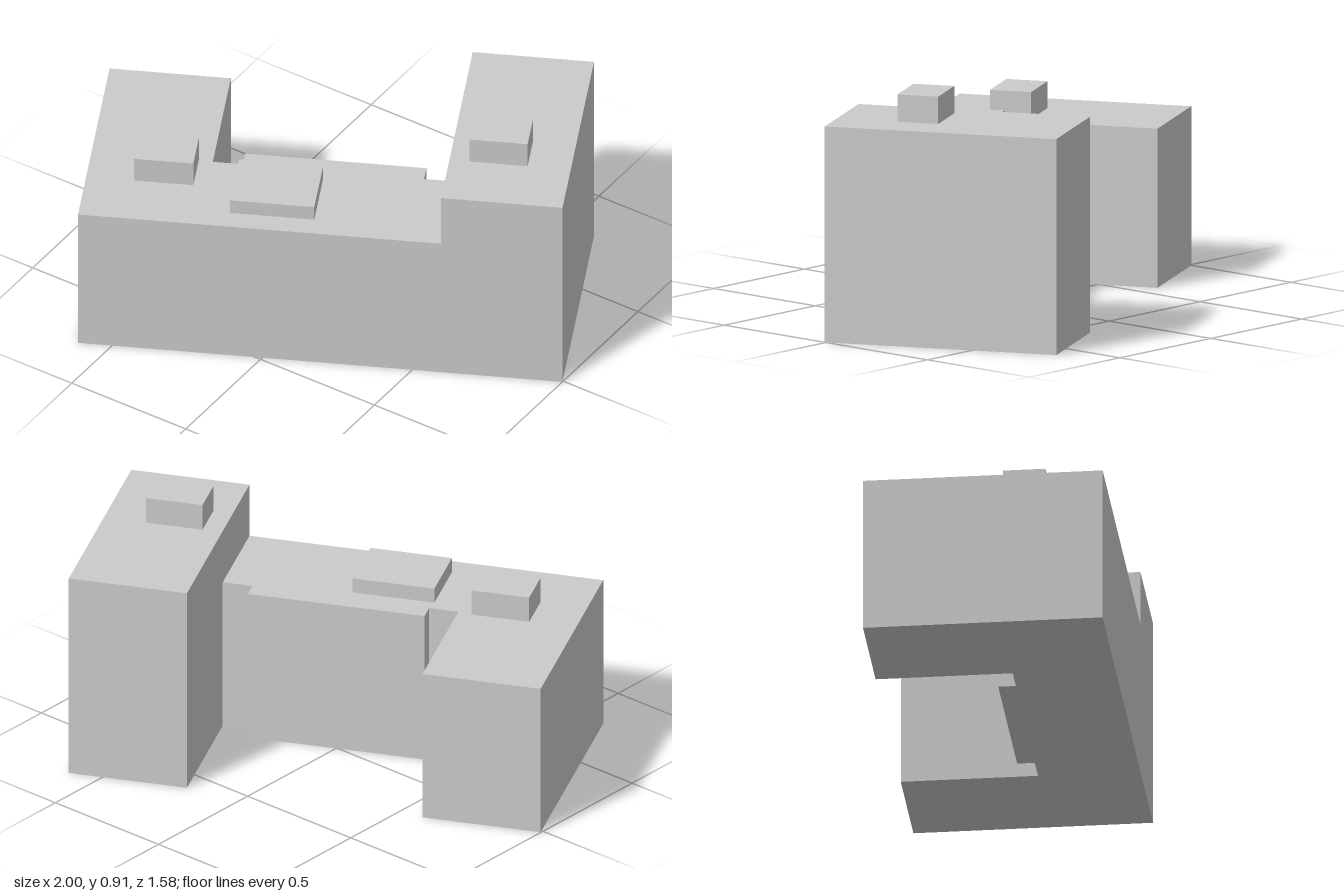
import * as THREE from 'three';

const LOW = 0.595, HIGH = 0.807; // roof heights
const LENGTH = 1.793, DEPTH = 0.884, WING = 0.449;

export function createModel() {
  const model = new THREE.Group();
  const material = new THREE.MeshStandardMaterial({ color: 0xcccccc, flatShading: true });

  // The building is laid out along its straight street side, then turned.
  const building = new THREE.Group();
  building.name = 'building';
  building.position.set(-0.614, 0, 0.785);
  building.rotation.y = 0.45;
  model.add(building);

  const add = (name, geometry) => {
    const mesh = new THREE.Mesh(geometry, material);
    mesh.name = name;
    building.add(mesh);
  };

  // Extrude a floor plan of [along, back] corners upward from the ground.
  const addPlan = (name, corners, height) => {
    const shape = new THREE.Shape(corners.map(([u, b]) => new THREE.Vector2(u, b)));
    const geometry = new THREE.ExtrudeGeometry(shape, { depth: height, bevelEnabled: false });
    add(name, geometry.rotateX(-Math.PI / 2));
  };

  // Box centred at (along, back) and standing on a roof.
  const addRoofBox = (name, u, b, width, depth, base, height) => {
    const geometry = new THREE.BoxGeometry(width, height, depth);
    add(name, geometry.translate(u, base + height / 2, -b));
  };

  const towerStart = LENGTH - WING;

  // Low wing and connecting block, with notches at both inner corners
  addPlan('lowWingAndConnector', [
    [0, 0], [towerStart, 0], [towerStart, 0.378], [1.231, 0.378], [1.231, 0.443],
    [0.56, 0.443], [0.56, 0.378], [WING, 0.378], [WING, DEPTH], [0, DEPTH],
  ], LOW);

  // Taller wing at the other end
  addPlan('tallWing', [
    [towerStart, 0], [LENGTH, 0], [LENGTH, DEPTH], [towerStart, DEPTH],
  ], HIGH);

  // Rooftop housings
  addRoofBox('lowWingRoofBox', 0.287, 0.308, 0.219, 0.157, LOW, 0.1);
  addRoofBox('connectorRoofBox', 0.708, 0.207, 0.311, 0.249, LOW, 0.058);
  addRoofBox('tallWingRoofBox', 1.526, 0.309, 0.215, 0.156, HIGH, 0.102);

  return model;
}
